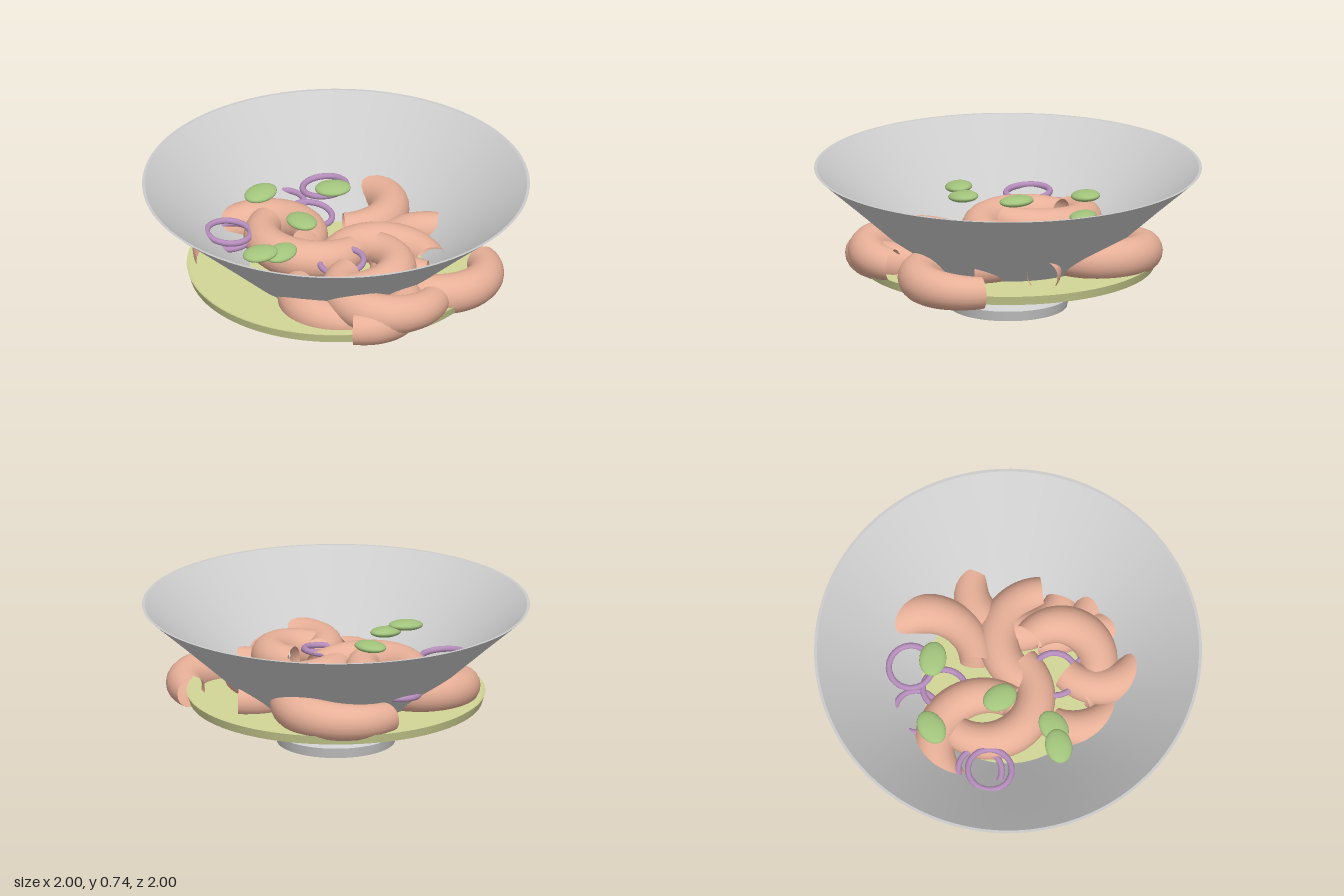
import * as THREE from 'three';
import { ParametricGeometry } from 'three/addons/geometries/ParametricGeometry.js';

const material = (color, side = THREE.FrontSide) =>
  new THREE.MeshStandardMaterial({ color, side });

function addMesh(parent, name, geometry, mat) {
  const mesh = new THREE.Mesh(geometry, mat);
  mesh.name = name;
  parent.add(mesh);
  return mesh;
}

// Splits a lathe profile into one smooth surface per section, so section joints stay sharp
function addLathe(parent, name, sections, mat) {
  const part = new THREE.Group();
  part.name = name;
  parent.add(part);
  for (const section of sections) {
    const points = section.map(([r, y]) => new THREE.Vector2(r, y));
    addMesh(part, name + 'Surface', new THREE.LatheGeometry(points, 96), mat);
  }
}

// Open curved tube that bends round (cx, cz) and narrows a little at its ends
function curlGeometry(cx, cz, R, startDeg, endDeg, y0, y1) {
  const point = (u, v, target) => {
    const a = THREE.MathUtils.degToRad(startDeg + (endDeg - startDeg) * u);
    const b = v * Math.PI * 2;
    const r = 0.083 + 0.022 * Math.sin(Math.PI * u);
    const d = R + r * Math.cos(b);
    target.set(cx + d * Math.cos(a), y0 + (y1 - y0) * u + r * Math.sin(b), cz + d * Math.sin(a));
  };
  return new ParametricGeometry(point, 32, 20);
}

export function createModel() {
  const model = new THREE.Group();
  model.name = 'shrimpSaladBowl';
  const grey = material(0xcccccc, THREE.DoubleSide);
  const shrimpPink = material(0xe8b098, THREE.DoubleSide);
  const lettuce = material(0xd2d696, THREE.DoubleSide);
  const onionPurple = material(0xb48cba);
  const leafGreen = material(0xa2c47c);

  // Bowl: foot, outer wall, thin rim and inner wall
  addLathe(model, 'bowl', [
    [[0, 0], [0.305, 0]],
    [[0.305, 0], [0.318, 0.055]],
    [[0.318, 0.055], [0.3, 0.07], [0.283, 0.08]],
    [[0.283, 0.08], [0.38, 0.18], [0.48, 0.27], [0.64, 0.415], [0.82, 0.577], [1, 0.735]],
    [[1, 0.735], [0.985, 0.735]],
    [[0.985, 0.735], [0.81, 0.585], [0.63, 0.425], [0.465, 0.28], [0.36, 0.19], [0.25, 0.12], [0, 0.1]],
  ], grey);

  // Flat lettuce disc with a thin lip
  addLathe(model, 'lettuceDisc', [
    [[0, 0.22], [0.755, 0.22]],
    [[0.755, 0.22], [0.77, 0.268]],
    [[0.77, 0.268], [0.755, 0.262]],
    [[0.755, 0.262], [0, 0.262]],
  ], lettuce);

  // Shrimps: centre x, centre z, bend radius, start and end angle, start and end height
  const shrimps = [
    [0.1, -0.43, 0.27, -130, 95, 0.31, 0.37],
    [0.5, 0.07, 0.24, -72, -250, 0.32, 0.3],
    [0.2, 0.22, 0.26, 190, 355, 0.36, 0.33],
    [-0.37, -0.14, 0.26, 175, 395, 0.3, 0.4],
    [-0.1, -0.12, 0.26, 218, 50, 0.39, 0.37],
    [0.06, 0.27, 0.2, -48, 150, 0.4, 0.34],
    [0.17, 0.48, 0.25, 225, 30, 0.37, 0.33],
    [-0.02, 0.36, 0.26, 215, 95, 0.28, 0.27],
    [0, 0.5, 0.25, 105, -40, 0.29, 0.31],
    [0.48, 0.22, 0.26, -14, 190, 0.28, 0.3],
  ];
  const shrimpGroup = new THREE.Group();
  shrimpGroup.name = 'shrimps';
  model.add(shrimpGroup);
  for (const s of shrimps) addMesh(shrimpGroup, 'shrimp', curlGeometry(...s), shrimpPink);

  // Onion rings: centre, then tilt about x and z
  const rings = [
    [-0.18, 0.38, -0.48, 0.08, 0.05],
    [0.045, 0.44, -0.5, -0.05, 0.08],
    [-0.54, 0.445, -0.12, 0.05, -0.06],
    [-0.52, 0.39, -0.17, 0.1, 0.12],
    [-0.065, 0.38, -0.33, 0.1, -0.1],
    [-0.02, 0.41, 0.24, 0.08, 0.1],
    [-0.03, 0.38, 0.44, -0.1, 0.08],
  ];
  const ringGroup = new THREE.Group();
  ringGroup.name = 'onionRings';
  model.add(ringGroup);
  const ringGeometry = new THREE.TorusGeometry(0.113, 0.016, 12, 40);
  for (const [x, y, z, tiltX, tiltZ] of rings) {
    const ring = addMesh(ringGroup, 'onionRing', ringGeometry, onionPurple);
    ring.position.set(x, y, z);
    ring.rotation.set(Math.PI / 2 + tiltX, tiltZ, 0);
  }

  // Herb leaves: flattened ellipsoids, with a turn about y
  const leaves = [
    [-0.31, 0.49, -0.41, 0.5],
    [0.065, 0.49, -0.385, -0.2],
    [-0.17, 0.505, -0.05, -1.1],
    [-0.45, 0.505, 0.24, 0.15],
    [-0.335, 0.485, 0.22, 0.6],
  ];
  const leafGroup = new THREE.Group();
  leafGroup.name = 'herbLeaves';
  model.add(leafGroup);
  const leafGeometry = new THREE.SphereGeometry(1, 24, 16);
  for (const [x, y, z, turn] of leaves) {
    const leaf = addMesh(leafGroup, 'herbLeaf', leafGeometry, leafGreen);
    leaf.position.set(x, y, z);
    leaf.scale.set(0.093, 0.027, 0.07);
    leaf.rotation.set(0.08, turn, 0.06);
  }

  return model;
}
